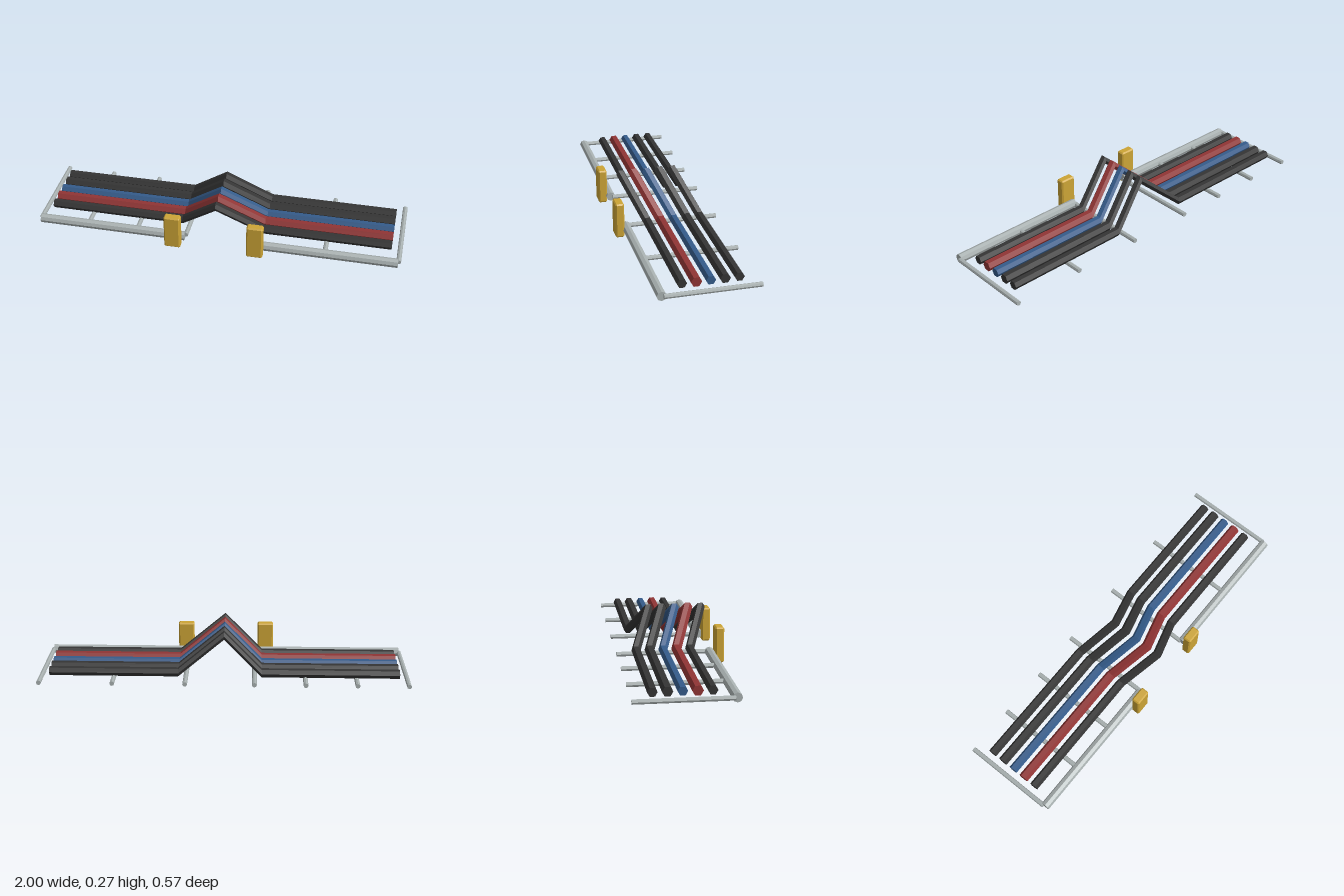
import * as THREE from 'three';
import { ConvexGeometry } from 'three/addons/geometries/ConvexGeometry.js';

const mat = (name, color) => {
  const m = new THREE.MeshStandardMaterial({ color });
  m.name = name;
  m.flatShading = true;
  return m;
};

export function createModel() {
  const black = mat('black rubber', 0x343434);
  const red = mat('red rubber', 0x903434);
  const blue = mat('blue rubber', 0x345b8a);
  const steel = mat('galvanised steel', 0xa8b0b0);
  const yellow = mat('yellow plate', 0xcca436);

  const model = new THREE.Group();
  model.name = 'cableTray';
  const add = (name, geometry, material) => {
    const mesh = new THREE.Mesh(geometry, material);
    mesh.name = name;
    model.add(mesh);
    return mesh;
  };

  // Front rails, one on each side of the gap
  for (const [name, x0, x1] of [['rightRail', -0.985, -0.17], ['leftRail', 0.205, 0.985]]) {
    const g = new THREE.CylinderGeometry(0.025, 0.025, x1 - x0, 8).rotateZ(Math.PI / 2);
    add(name, g, steel).position.set((x0 + x1) / 2, 0.038, 0.219);
  }

  // Rungs running back from the rails
  const zFront = 0.209, zBack = -0.284;
  [-0.987, -0.715, -0.44, -0.166, 0.205, 0.594, 0.987].forEach((x, i) => {
    const g = new THREE.CylinderGeometry(0.013, 0.013, zFront - zBack, 8).rotateX(Math.PI / 2);
    add('rung' + (i + 1), g, steel).position.set(x, 0.0375, (zFront + zBack) / 2);
  });

  // Hexagonal cables: the same upright section at each station, kinked up and forward
  const stations = [[-0.945, 0, 0], [-0.205, 0, 0], [0, 0.18, 0.089], [0.246, 0, 0], [0.942, 0, 0]];
  const cable = (z, r) => {
    const rings = stations.map(([x, dy, dz]) => Array.from({ length: 6 }, (_, k) => {
      const a = (k * Math.PI) / 3;
      return new THREE.Vector3(x, 0.067 + dy + r * 0.86 * Math.sin(a) / Math.sin(Math.PI / 3), z + dz + r * Math.cos(a));
    }));
    const pts = [];
    for (let s = 0; s < rings.length - 1; s++) {
      for (let k = 0; k < 6; k++) {
        const n = (k + 1) % 6;
        const a = rings[s][k], b = rings[s + 1][k], c = rings[s + 1][n], d = rings[s][n];
        pts.push(a, b, c, a, c, d);
      }
    }
    // End caps
    const first = rings[0], last = rings[rings.length - 1];
    for (let k = 1; k < 5; k++) {
      pts.push(first[0], first[k], first[k + 1], last[0], last[k + 1], last[k]);
    }
    const g = new THREE.BufferGeometry().setFromPoints(pts);
    g.computeVertexNormals();
    return g;
  };
  [[black, 0.025], [red, 0.028], [blue, 0.025], [black, 0.027], [black, 0.025]].forEach(([m, r], i) => {
    add('cable' + (i + 1), cable(0.108 - i * 0.0724, r), m);
  });

  // Chamfered upright plates in front of the inner rail ends
  const chamferedBox = (w, h, d, c) => {
    const pts = [];
    for (const sx of [-1, 1]) for (const sy of [-1, 1]) for (const sz of [-1, 1]) {
      for (const [ix, iy, iz] of [[0, c, c], [c, 0, c], [c, c, 0]]) {
        pts.push(new THREE.Vector3(sx * (w / 2 - ix), sy * (h / 2 - iy), sz * (d / 2 - iz)));
      }
    }
    return new ConvexGeometry(pts);
  };
  for (const [name, x] of [['rightPlate', -0.226], ['leftPlate', 0.2245]]) {
    add(name, chamferedBox(0.088, 0.193, 0.047, 0.007), yellow).position.set(x, 0.0965, 0.2605);
  }

  return model;
}
